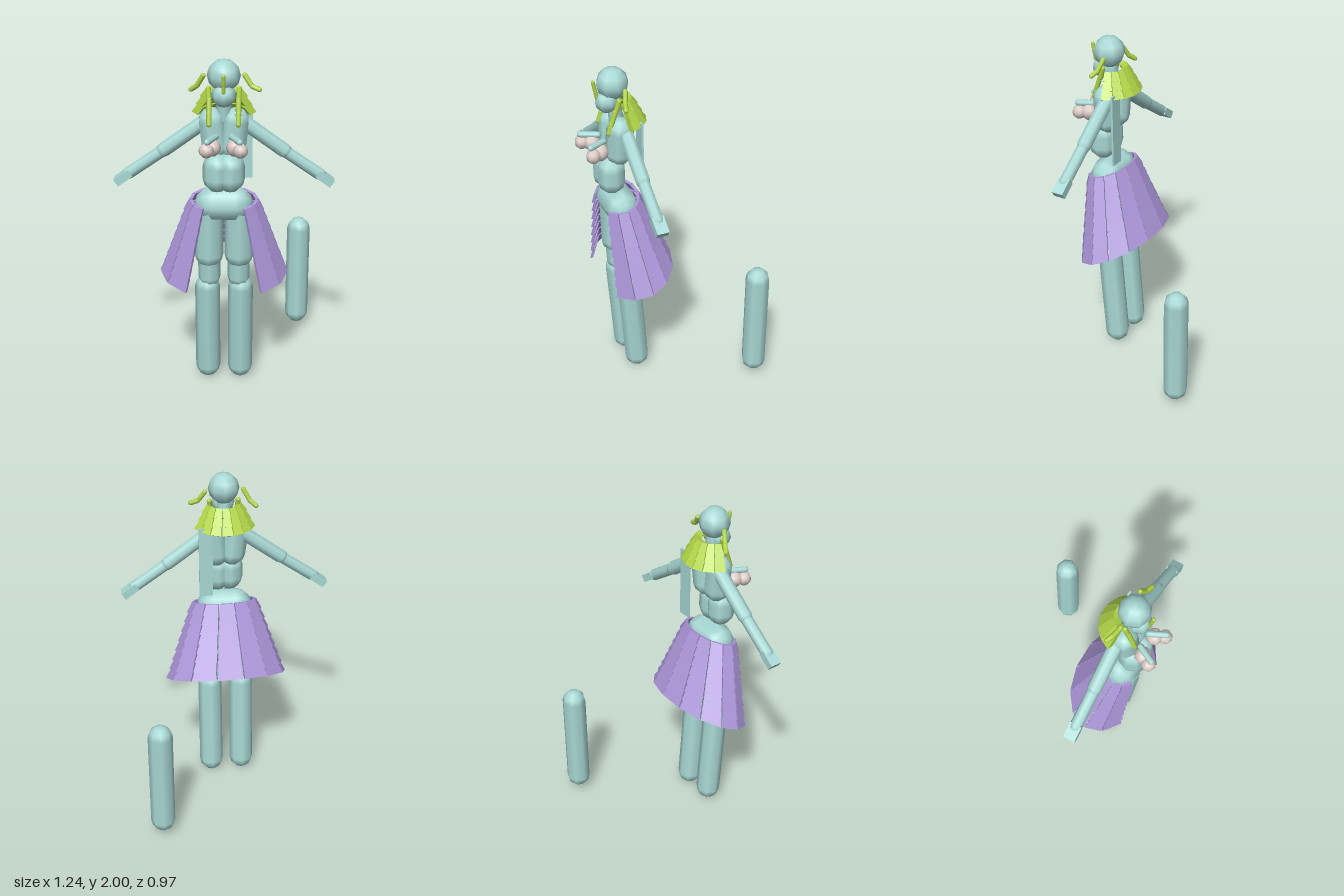
import * as THREE from 'three';

const mat = (color) => new THREE.MeshStandardMaterial({ color });
const lerp = THREE.MathUtils.lerp;
const UP = new THREE.Vector3(0, 1, 0);

export function createModel() {
  const model = new THREE.Group();
  const skin = mat(0xa8d8d4), cloth = mat(0xaa94d6), hairMat = mat(0xb2d648), pale = mat(0xdccbc6);

  function add(name, geometry, material, parent = model) {
    const mesh = new THREE.Mesh(geometry, material);
    mesh.name = name;
    parent.add(mesh);
    return mesh;
  }
  function ball(name, [x, y, z], r, material = skin) {
    const mesh = add(name, new THREE.SphereGeometry(r, 8, 6), material);
    mesh.position.set(x, y, z);
    return mesh;
  }
  // Eight-sided capsule whose rounded tips lie at a and b
  function limb(name, a, b, r, material = skin) {
    const p = new THREE.Vector3(...a), q = new THREE.Vector3(...b);
    const dir = q.clone().sub(p), len = dir.length();
    const mesh = add(name, new THREE.CapsuleGeometry(r, Math.max(len - 2 * r, 0.001), 3, 8), material);
    mesh.position.copy(p).add(q).multiplyScalar(0.5);
    mesh.quaternion.setFromUnitVectors(UP, dir.normalize());
    return mesh;
  }
  // Overlapping plates: each box is bent onto surface(t, s, w),
  // t = angle from the back, s = top to bottom, w = distance outward
  function plates(name, material, cols, rows, tMax, thick, flare, surface) {
    const group = new THREE.Group();
    group.name = name;
    const step = (2 * tMax) / cols;
    for (let c = 0; c < cols; c++) {
      for (let r = 0; r < rows; r++) {
        const g = new THREE.BoxGeometry(1, 1, 1), pos = g.attributes.position;
        const tMid = -tMax + (c + 0.5) * step;
        for (let i = 0; i < pos.count; i++) {
          const down = 0.5 - pos.getY(i);
          const t = tMid - pos.getX(i) * step * (0.9 + 0.06 * down);
          const s = (r + down * 1.05) / (rows + 0.05);
          const w = (pos.getZ(i) - 0.5) * thick + down * flare;
          pos.setXYZ(i, ...surface(t, s, w));
        }
        g.computeVertexNormals();
        add(name + 'Plate', g, material, group);
      }
    }
    model.add(group);
  }

  // Head and neck
  ball('head', [0, 1.91, 0.29], 0.092);
  ball('jaw', [0, 1.81, 0.325], 0.068);
  limb('neck', [0, 1.62, 0.27], [0, 1.86, 0.285], 0.042);

  // Pelvis
  limb('pelvis', [-0.165, 1.16, 0.278], [0.165, 1.16, 0.278], 0.1);

  for (const s of [-1, 1]) {
    // Torso
    limb('chest', [s * 0.075, 1.725, 0.275], [s * 0.04, 1.43, 0.28], 0.077);
    limb('belly', [s * 0.037, 1.48, 0.322], [s * 0.037, 1.25, 0.322], 0.081);
    ball('breast', [s * 0.063, 1.535, 0.395], 0.05, pale);
    ball('breastTip', [s * 0.092, 1.535, 0.445], 0.042, pale);
    limb('chestBand', [s * 0.035, 1.587, 0.35], [s * 0.095, 1.587, 0.472], 0.018);

    // Arms
    limb('upperArm', [s * 0.07, 1.665, 0.255], [s * 0.37, 1.445, 0.255], 0.042);
    limb('forearm', [s * 0.32, 1.48, 0.255], [s * 0.565, 1.31, 0.255], 0.035);
    const hand = add('hand', new THREE.BoxGeometry(0.1, 0.045, 0.07), skin);
    hand.position.set(s * 0.565, 1.31, 0.255);
    hand.rotation.z = -s * 0.63;

    // Legs
    limb('thigh', [s * 0.086, 1.22, 0.275], [s * 0.086, 0.76, 0.262], 0.084);
    limb('knee', [s * 0.085, 0.86, 0.265], [s * 0.085, 0.63, 0.252], 0.064);
    limb('shin', [s * 0.096, 0.7, 0.257], [s * 0.096, 0.005, 0.203], 0.073);

    // Long side locks
    limb('sideLockTop', [s * 0.085, 1.85, 0.28], [s * 0.08, 1.76, 0.305], 0.015, hairMat);
    limb('sideLockMiddle', [s * 0.08, 1.79, 0.3], [s * 0.08, 1.7, 0.33], 0.015, hairMat);
    limb('sideLockEnd', [s * 0.08, 1.72, 0.325], [s * 0.08, 1.635, 0.35], 0.015, hairMat);
  }

  // Loose locks at the front and temples
  limb('fringe', [0, 1.945, 0.402], [0, 1.88, 0.39], 0.011, hairMat);
  limb('fringeEnd', [0, 1.9, 0.393], [0, 1.83, 0.38], 0.011, hairMat);
  limb('rightTempleLock', [-0.105, 1.915, 0.275], [-0.15, 1.835, 0.25], 0.014, hairMat);
  limb('rightTempleTip', [-0.135, 1.85, 0.258], [-0.19, 1.805, 0.225], 0.014, hairMat);
  limb('leftTempleLock', [0.105, 1.915, 0.255], [0.155, 1.84, 0.277], 0.014, hairMat);
  limb('leftTempleTip', [0.14, 1.85, 0.272], [0.205, 1.825, 0.29], 0.014, hairMat);

  // Flared hair around the back of the neck
  plates('hair', hairMat, 7, 3, 1.3, 0.035, 0.008, (t, s, w) => {
    const r = lerp(0.105, 0.178, s) + w;
    return [r * Math.sin(t), lerp(1.825, 1.685, s) + w * 0.5, 0.29 - r * Math.cos(t)];
  });

  // Open-fronted skirt, longer toward the front
  plates('skirt', cloth, 11, 8, 2.52, 0.018, 0.012, (t, s, w) => {
    const z = lerp(0.28, 0.2, s) - (lerp(0.12, 0.21, s) + w) * Math.cos(t);
    const x = (lerp(0.195, 0.36, s) + w) * Math.sin(t);
    return [x, lerp(1.22 - 0.28 * (z - 0.165), 0.8 - 0.4 * (z + 0.02), s), z];
  });

  // Flat ribbon hanging behind the left shoulder
  for (let i = 0; i < 3; i++) {
    const ribbon = add('ribbon', new THREE.BoxGeometry(0.08, 0.15, 0.012), skin);
    ribbon.position.set(0.12, 1.355 + i * 0.14, 0.179 + i * 0.001);
  }

  // Separate post standing behind
  limb('post', [0.462, 0.042, -0.415], [0.462, 0.776, -0.415], 0.072);

  return model;
}
